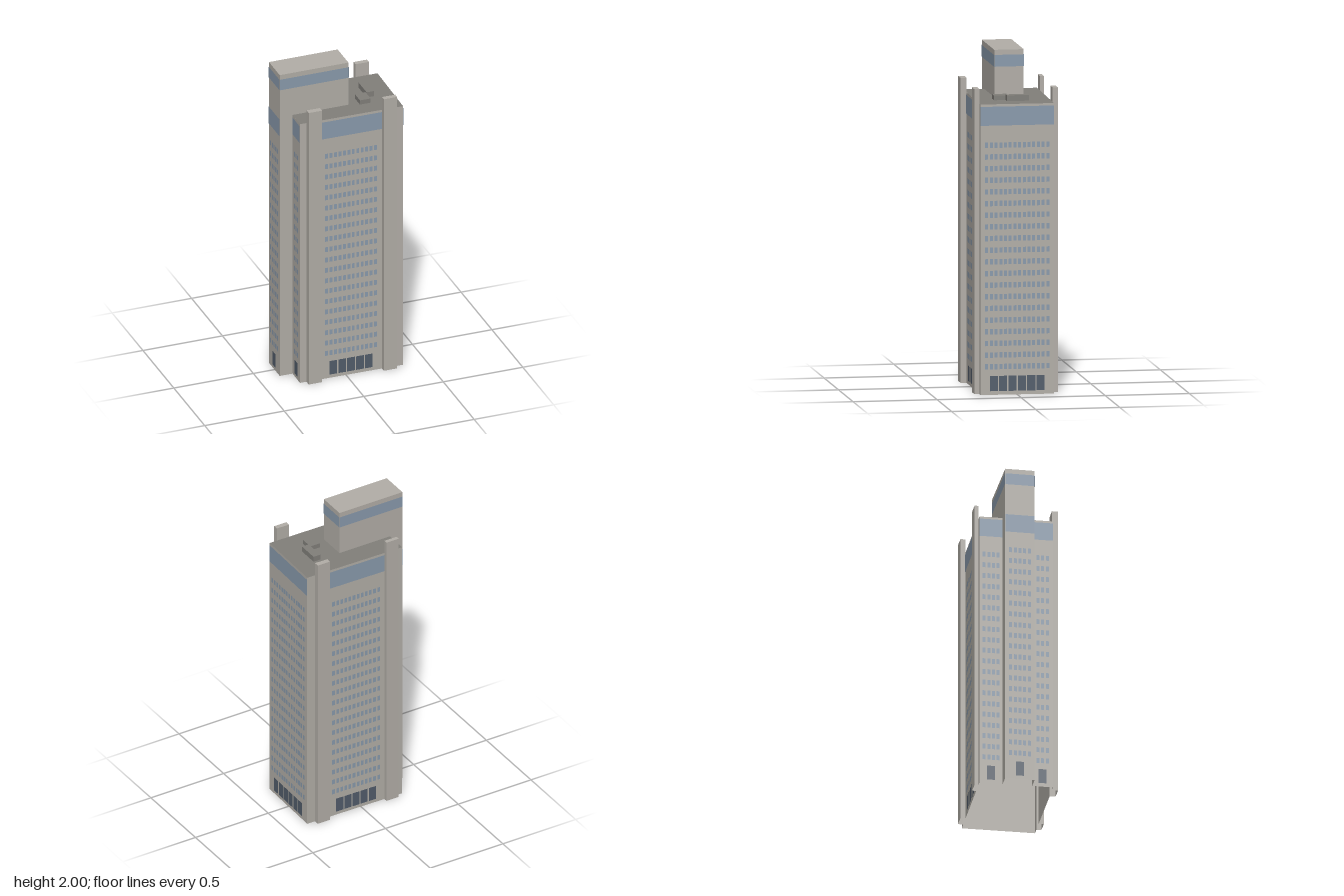
import * as THREE from 'three';
import { mergeGeometries } from 'three/addons/utils/BufferGeometryUtils.js';

const material = (name, color) =>
  Object.assign(new THREE.MeshStandardMaterial({ color, side: THREE.DoubleSide }), { name });

// Upright walls along a closed loop of [x, z] points, open at top and bottom
function wallLoop(points, y0, y1) {
  const pos = [];
  points.forEach(([ax, az], i) => {
    const [bx, bz] = points[(i + 1) % points.length];
    pos.push(ax, y0, az, bx, y0, bz, bx, y1, bz, ax, y0, az, bx, y1, bz, ax, y1, az);
  });
  const geo = new THREE.BufferGeometry();
  geo.setAttribute('position', new THREE.Float32BufferAttribute(pos, 3));
  geo.computeVertexNormals();
  return geo;
}

// Flat lid over a loop of [x, z] points
function lid(points, y) {
  const shape = new THREE.Shape(points.map(([x, z]) => new THREE.Vector2(x, -z)));
  return new THREE.ShapeGeometry(shape).rotateX(-Math.PI / 2).translate(0, y, 0);
}

export function createModel() {
  const model = new THREE.Group();
  model.name = 'officeTower';
  const stone = material('stone', 0xb3afa8);
  const roofGrey = material('roofGrey', 0x82807b);
  const glass = material('glass', 0x8a9bad);
  const darkGlass = material('darkGlass', 0x525d6b);

  const add = (parent, name, geo, mat) => {
    const mesh = new THREE.Mesh(geo, mat);
    mesh.name = name;
    parent.add(mesh);
    return mesh;
  };

  const ROOF = 1.72;
  // Ground plan, starting at the front corner on the -x side
  const plan = [
    [-0.288, 0.208], [-0.247, 0.209], [-0.247, 0.246], [-0.163, 0.246], [-0.163, 0.211],
    [0.225, 0.215], [0.225, 0.246], [0.308, 0.246], [0.308, 0.216], [0.357, 0.217],
    [0.365, -0.217], [0.312, -0.218], [0.312, -0.25], [0.228, -0.25], [0.228, -0.22],
    [-0.16, -0.226], [-0.16, -0.25], [-0.244, -0.25], [-0.244, -0.227], [-0.28, -0.228],
    [-0.282, -0.09], [-0.367, -0.09], [-0.367, 0.085], [-0.286, 0.085],
  ];
  add(model, 'mainWalls', wallLoop(plan, 0, ROOF), stone);
  add(model, 'mainRoof', lid([plan[0], plan[9], plan[10], plan[19]], ROOF), roofGrey);

  // Four pilasters rise past the roof
  for (const first of [1, 5, 11, 15]) {
    const loop = plan.slice(first, first + 4);
    add(model, 'pilasterHead', wallLoop(loop, ROOF, 1.805), stone);
    add(model, 'pilasterCap', lid(loop, 1.805), stone);
  }

  // Service tower on the -x side
  const tower = [[-0.367, 0.085], [0.065, 0.085], [0.065, -0.09], [-0.367, -0.09]];
  add(model, 'serviceTowerWalls', wallLoop(tower, ROOF, 2), stone);
  add(model, 'serviceTowerRoof', lid(tower, 2), stone);

  // Rooftop plant boxes
  for (const [x, z, w, d, h] of [[0.162, 0.066, 0.067, 0.085, 0.028], [0.22, -0.025, 0.046, 0.13, 0.034]]) {
    add(model, 'plantBox', new THREE.BoxGeometry(w, h, d).translate(x, ROOF + h / 2, z), roofGrey);
  }

  // Group lying on a wall: local x runs along it, local z points outwards
  const onWall = (name, [ax, az], [bx, bz]) => {
    const group = new THREE.Group();
    group.name = name;
    group.position.set((ax + bx) / 2, 0, (az + bz) / 2);
    group.rotation.y = Math.atan2(az - bz, bx - ax);
    model.add(group);
    return { group, length: Math.hypot(bx - ax, bz - az) };
  };
  const pane = (w, h, x, y) => new THREE.PlaneGeometry(w, h).translate(x, y, 0.002);

  // Facades: window grid, ground floor doors and a glazed top band
  for (const i of [4, 9, 14, 19, 21, 23]) {
    const { group, length } = onWall('facade', plan[i], plan[(i + 1) % plan.length]);
    const columns = Math.round((length - 0.04) / 0.0279);
    const windows = [];
    for (let row = 0; row < 20; row++) {
      for (let c = 0; c < columns; c++) {
        windows.push(pane(0.018, 0.032, (c - (columns - 1) / 2) * 0.0279, 0.167 + row * 0.069));
      }
    }
    add(group, 'windows', mergeGeometries(windows), glass);

    const count = Math.max(1, Math.floor((length - 0.1) / 0.0555));
    const doors = [];
    for (let c = 0; c < count; c++) {
      doors.push(pane(0.048, 0.09, (c - (count - 1) / 2) * 0.0555, 0.067));
    }
    add(group, 'doors', mergeGeometries(doors), darkGlass);
    add(group, 'topBand', pane(length, 0.112, 0, 1.65), glass);
  }

  // Glazed band around the service tower
  tower.forEach((p, i) => {
    const { group, length } = onWall('serviceTowerSide', p, tower[(i + 1) % 4]);
    add(group, 'serviceTowerBand', pane(length, 0.07, 0, 1.935), glass);
  });

  return model;
}
